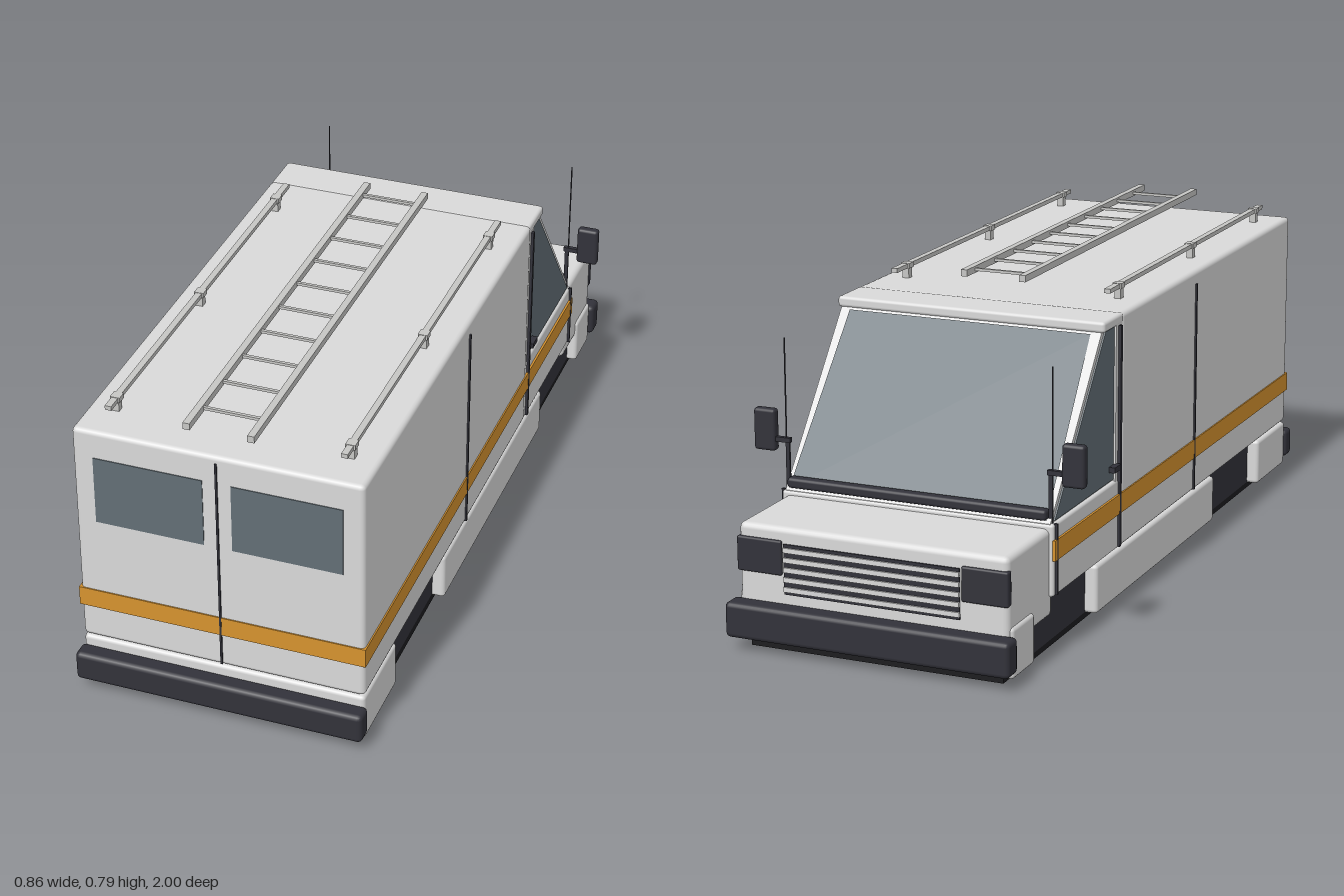
import * as THREE from 'three';
import { RoundedBoxGeometry } from 'three/addons/geometries/RoundedBoxGeometry.js';

const mat = (name, color, extra = {}) => {
  const m = new THREE.MeshStandardMaterial({ color, ...extra });
  m.name = name;
  return m;
};

export function createModel() {
  const van = new THREE.Group();
  van.name = 'van';
  const body = mat('body grey', 0xd9d9d9);
  const trim = mat('dark trim', 0x32323a);
  const under = mat('underside black', 0x1c1c1e);
  const amber = mat('amber stripe', 0xd6932f);
  const glass = mat('tinted glass', 0x626e75, { side: THREE.DoubleSide });
  const metal = mat('rack metal', 0xc6c6c4);

  const add = (name, geometry, material) => {
    const mesh = new THREE.Mesh(geometry, material);
    mesh.name = name;
    van.add(mesh);
    return mesh;
  };
  // Boxes are given by their limits on each axis; r > 0 rounds the edges
  const box = (name, material, [x0, x1], [y0, y1], [z0, z1], r = 0) => {
    const s = [x1 - x0, y1 - y0, z1 - z0];
    const g = r ? new RoundedBoxGeometry(...s, 2, r) : new THREE.BoxGeometry(...s);
    g.translate((x0 + x1) / 2, (y0 + y1) / 2, (z0 + z1) / 2);
    return add(name, g, material);
  };
  const wide = (w) => [-w, w];
  const span = (side, a, b) => (side > 0 ? [a, b] : [-b, -a]);
  // Side profile given as [z, y] points, extruded across x
  const profile = (name, material, points, x0, x1) => {
    const shape = new THREE.Shape(points.map(([z, y]) => new THREE.Vector2(z, y)));
    const g = new THREE.ExtrudeGeometry(shape, { depth: x1 - x0, bevelEnabled: false });
    g.rotateY(-Math.PI / 2).translate(x1, 0, 0);
    return add(name, g, material);
  };

  // Underside, wheel wells and skirts
  box('floorPlate', under, wide(0.325), [0, 0.02], [-0.94, 0.94]);
  box('wheelWells', trim, wide(0.325), [0.015, 0.15], [-0.93, 0.93]);
  box('rearSkirt', body, wide(0.357), [0.013, 0.137], [0.73, 0.957], 0.01);
  box('middleSkirt', body, wide(0.357), [0.013, 0.137], [-0.455, 0.37], 0.01);
  box('frontSkirt', body, wide(0.352), [0.013, 0.137], [-0.945, -0.82], 0.01);
  box('rearBumper', trim, wide(0.364), [0.033, 0.11], [0.95, 1], 0.012);
  box('frontBumper', trim, wide(0.364), [0.033, 0.12], [-1, -0.943], 0.012);

  // Main volumes
  box('cargoBody', body, wide(0.357), [0.14, 0.73], [-0.3, 0.957], 0.012);
  box('cabLower', body, wide(0.355), [0.14, 0.318], [-0.722, -0.29], 0.008);
  box('hood', body, wide(0.345), [0.09, 0.307], [-0.955, -0.7], 0.015);
  box('roofHeader', body, wide(0.355), [0.703, 0.73], [-0.412, -0.29], 0.008);
  profile('cabUpper', body,
    [[-0.29, 0.31], [-0.29, 0.71], [-0.403, 0.71], [-0.718, 0.318], [-0.718, 0.31]].reverse(), -0.346, 0.346);
  for (const s of [1, -1]) box('doorPillar', body, span(s, 0.34, 0.354), [0.31, 0.71], [-0.334, -0.295]);

  // Windscreen, narrower at the top
  const windscreen = new THREE.BufferGeometry();
  windscreen.setAttribute('position', new THREE.Float32BufferAttribute([
    0.336, 0.325, -0.717, -0.336, 0.325, -0.717, -0.32, 0.7, -0.415, 0.32, 0.7, -0.415], 3));
  windscreen.setIndex([0, 1, 2, 0, 2, 3]);
  windscreen.computeVertexNormals();
  add('windscreen', windscreen, glass);
  box('wiperCowl', trim, wide(0.338), [0.326, 0.352], [-0.728, -0.698], 0.008);

  // Front face: headlights and slatted grille
  box('grillePanel', trim, wide(0.225), [0.145, 0.268], [-0.959, -0.95]);
  for (let i = 0; i < 5; i++) {
    const y = 0.152 + i * 0.024;
    box('grilleSlat', body, wide(0.225), [y, y + 0.012], [-0.963, -0.955]);
  }

  for (const s of [1, -1]) {
    box('headlight', trim, span(s, 0.23, 0.347), [0.19, 0.275], [-0.962, -0.94], 0.005);

    // Side glass
    const [gx0, gx1] = span(s, 0.344, 0.35);
    profile('sideWindow', glass,
      [[-0.336, 0.322], [-0.7, 0.322], [-0.392, 0.703], [-0.336, 0.703]], gx0, gx1);

    // Stripe, panel seams and door handle
    box('sideStripe', amber, span(s, 0.354, 0.3605), [0.23, 0.28], [-0.722, 0.96]);
    box('cargoSeam', trim, span(s, 0.355, 0.3612), [0.145, 0.695], [0.204, 0.211]);
    box('doorSeam', trim, span(s, 0.352, 0.3612), [0.145, 0.703], [-0.319, -0.309]);
    box('frontDoorSeam', trim, span(s, 0.352, 0.3612), [0.145, 0.318], [-0.71, -0.704]);
    box('doorHandle', trim, span(s, 0.348, 0.366), [0.346, 0.36], [-0.366, -0.326]);

    // Mirror and aerial
    box('mirrorArm', trim, span(s, 0.335, 0.385), [0.434, 0.446], [-0.712, -0.7]);
    box('mirrorStalk', trim, span(s, 0.338, 0.348), [0.318, 0.446], [-0.709, -0.703]);
    box('mirror', trim, span(s, 0.373, 0.43), [0.41, 0.514], [-0.718, -0.692], 0.008);
    const aerial = new THREE.CylinderGeometry(0.0018, 0.0018, 0.375, 6);
    aerial.translate(s * 0.347, 0.505, -0.706);
    add('aerial', aerial, trim);

    // Rear window
    box('rearWindow', glass, span(s, 0.035, 0.306), [0.48, 0.658], [0.952, 0.959]);

    // Roof rail on posts
    box('roofRail', metal, span(s, 0.28, 0.296), [0.757, 0.768], [-0.23, 0.9]);
    for (const z of [0.85, 0.35, -0.155]) {
      box('railPost', metal, span(s, 0.28, 0.297), [0.725, 0.758], [z - 0.009, z + 0.009]);
      box('railCap', metal, span(s, 0.276, 0.3), [0.756, 0.769], [z - 0.012, z + 0.012]);
    }

    // Ladder side
    box('ladderSide', metal, span(s, 0.07, 0.087), [0.774, 0.791], [-0.267, 0.937]);
  }

  // Ladder rungs
  for (let i = 0; i < 10; i++) {
    const z = -0.215 + i * 0.1185;
    box('ladderRung', metal, wide(0.072), [0.779, 0.786], [z - 0.004, z + 0.004]);
  }

  // Rear doors
  box('rearStripe', amber, wide(0.3605), [0.23, 0.28], [0.953, 0.96]);
  box('rearDoorSeam', trim, wide(0.0025), [0.145, 0.712], [0.953, 0.961]);

  return van;
}
